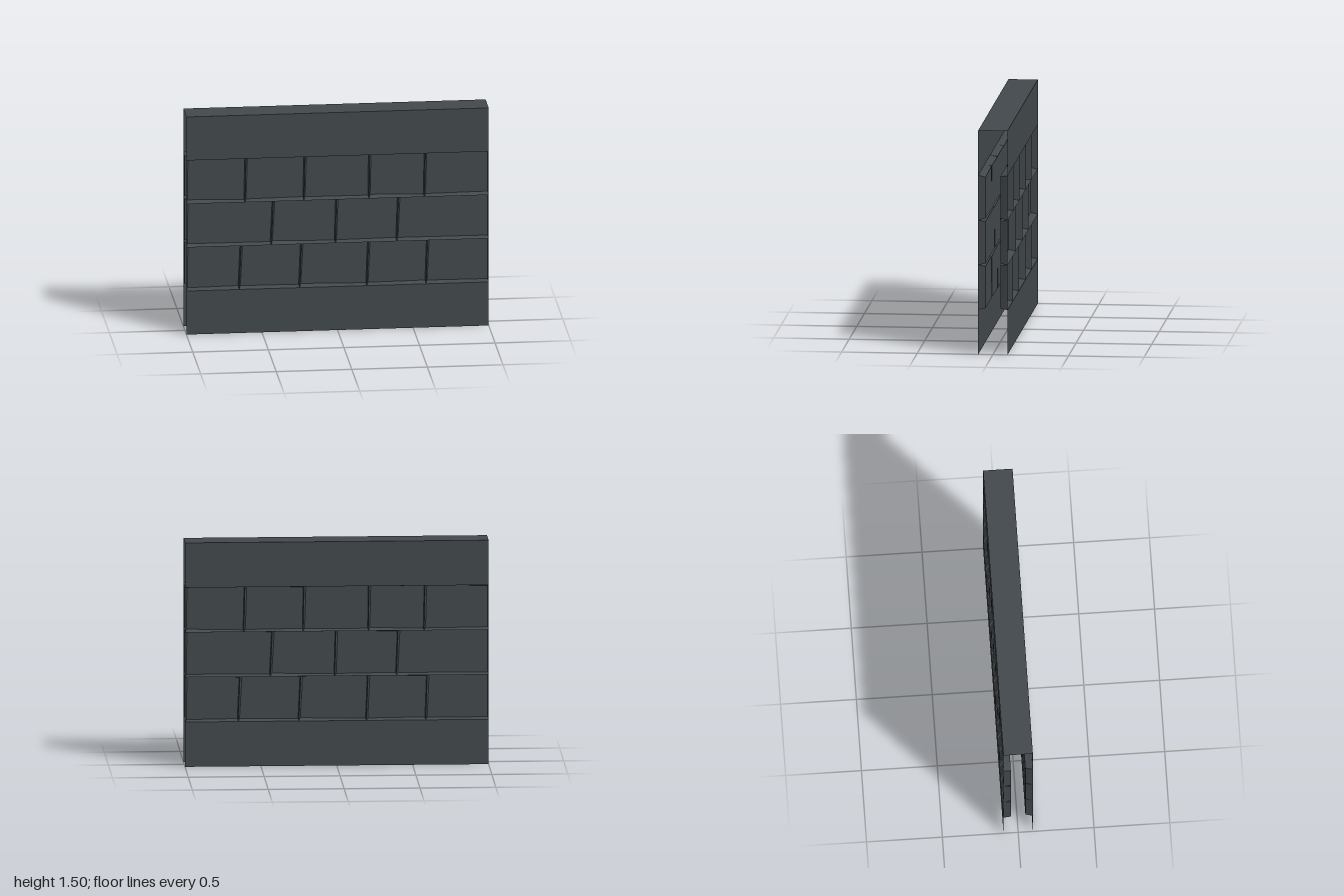
import * as THREE from 'three';

const OUTER = 0.097;   // face plane of the wall
const INNER = 0.048;   // floor plane of the sunken stones
const ROW = 0.299;     // height of one course
const HEIGHT = ROW * 5;

// Slanted joints of each course, bottom to top, as [x at bottom, x at top]
const COURSES = [
  [[-0.65, -0.638], [-0.25, -0.238], [0.195, 0.206], [0.586, 0.596]],
  [[-0.438, -0.425], [-0.013, -0.006], [0.393, 0.404]],
  [[-0.612, -0.606], [-0.222, -0.216], [0.209, 0.212], [0.575, 0.581]],
];

const material = new THREE.MeshStandardMaterial({
  color: 0x444a4e, flatShading: true, side: THREE.DoubleSide,
});

// Sunken stone: four sloping sides and a flat floor, from two loops of corners
function stoneGeometry(outer, inner) {
  const positions = [];
  const quad = (a, b, c, d) => positions.push(...a, ...b, ...c, ...a, ...c, ...d);
  const o = outer.map(([x, y]) => [x, y, OUTER]);
  const f = inner.map(([x, y]) => [x, y, INNER]);
  for (let i = 0; i < 4; i++) {
    const j = (i + 1) % 4;
    quad(o[i], o[j], f[j], f[i]);
  }
  quad(...f);
  const geometry = new THREE.BufferGeometry();
  geometry.setAttribute('position', new THREE.Float32BufferAttribute(positions, 3));
  geometry.computeVertexNormals();
  return geometry;
}

function panel(name, y) {
  const mesh = new THREE.Mesh(new THREE.PlaneGeometry(2, ROW), material);
  mesh.name = name;
  mesh.position.set(0, y, OUTER);
  return mesh;
}

// One face of the wall: plain bands above and below three courses of stones
function wallFace(name) {
  const face = new THREE.Group();
  face.name = name;
  face.add(panel('lowerBand', ROW / 2), panel('upperBand', HEIGHT - ROW / 2));

  COURSES.forEach((joints, row) => {
    const y0 = ROW * (row + 1);
    const y1 = y0 + ROW;
    const edges = [[-1, -1], ...joints, [1, 1]];
    for (let i = 0; i < edges.length - 1; i++) {
      const [l0, l1] = edges[i];
      const [r0, r1] = edges[i + 1];
      const tilt = 0.003 * ((i + row) % 3 - 1); // slight unevenness of each stone
      const outer = [[l0, y0], [r0, y0], [r1, y1], [l1, y1]];
      const inner = [
        [l0 + 0.012, y0 + 0.011 + tilt],
        [r0 - 0.003, y0 + 0.009 - tilt],
        [r1 - 0.003, y1 - 0.009 + tilt],
        [l1 + 0.015, y1 - 0.006 - tilt],
      ];
      const stone = new THREE.Mesh(stoneGeometry(outer, inner), material);
      stone.name = 'stone';
      face.add(stone);
    }
  });
  return face;
}

export function createModel() {
  const wall = new THREE.Group();
  wall.name = 'stoneWall';

  // Matching faces, the rear one turned half way round
  const front = wallFace('frontFace');
  const back = wallFace('backFace');
  back.rotation.y = Math.PI;

  // Flat cap; the ends and the underside stay open
  const cap = new THREE.Mesh(new THREE.PlaneGeometry(2, OUTER * 2), material);
  cap.name = 'cap';
  cap.rotation.x = -Math.PI / 2;
  cap.position.y = HEIGHT;

  wall.add(front, back, cap);
  return wall;
}
